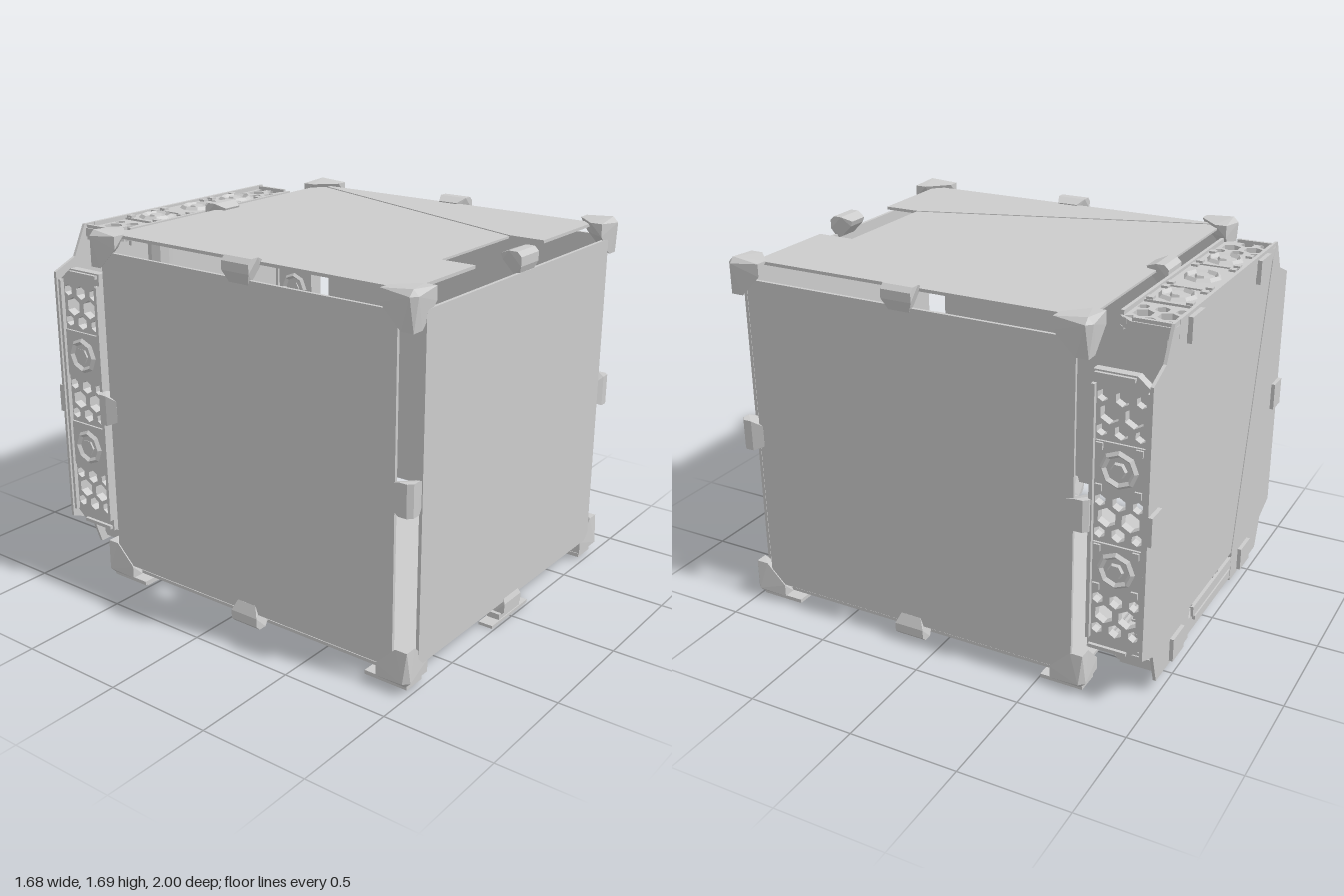
import * as THREE from 'three';
import { ConvexGeometry } from 'three/addons/geometries/ConvexGeometry.js';

const grey = new THREE.MeshStandardMaterial({ color: 0xcccccc, flatShading: true, side: THREE.DoubleSide });
grey.name = 'panelGrey';

// Outer limits of the cube frame and its centre
const MIN = [-0.84, 0.03, -0.73], MAX = [0.84, 1.69, 1.0];
const MID = MIN.map((m, i) => (m + MAX[i]) / 2);

function mesh(parent, name, geometry, x = 0, y = 0, z = 0) {
  const m = new THREE.Mesh(geometry, grey);
  m.name = name;
  m.position.set(x, y, z);
  parent.add(m);
  return m;
}
const box = (parent, name, size, pos) => mesh(parent, name, new THREE.BoxGeometry(...size), ...pos);
const poly = (pts) => new THREE.Shape(pts.map(([x, y]) => new THREE.Vector2(x, y)));
const slab = (shape, depth) => new THREE.ExtrudeGeometry(shape, { depth, bevelEnabled: false });
const mirrored = (pts) => pts.map(([x, y]) => [-x, y]).reverse();

function hexagon(cx, cy, r) {
  const p = new THREE.Path();
  for (let i = 0; i < 6; i++) {
    const a = (i / 6) * Math.PI * 2;
    const x = cx + Math.cos(a) * r, y = cy + Math.sin(a) * r;
    if (i) p.lineTo(x, y); else p.moveTo(x, y);
  }
  p.closePath();
  return p;
}

// Folded sheet: a tapering middle facet between two side facets
function foldedPanel(name, middle, side) {
  const g = new THREE.Group();
  g.name = name;
  mesh(g, 'middleFacet', slab(poly(middle), 0.01));
  mesh(g, 'rightFacet', slab(poly(side), 0.014));
  mesh(g, 'leftFacet', slab(poly(mirrored(side)), 0.014));
  return g;
}

// Chamfered three-armed bracket in one corner of the cube
function cornerBracket(parent, signs) {
  const pts = [];
  const at = (d) => new THREE.Vector3(...d.map((v, i) => (signs[i] > 0 ? MAX[i] - v : MIN[i] + v)));
  for (let a = 0; a < 3; a++) {
    for (const u of [0, 0.07]) for (const v of [0, 0.07]) {
      const d = [0, 0, 0];
      d[a] = u + v > 0.1 ? 0.13 : 0.165;
      d[(a + 1) % 3] = u || 0.012;
      d[(a + 2) % 3] = v || 0.012;
      pts.push(at(d));
    }
    const edge = [0.025, 0.025, 0.025];
    edge[a] = 0;
    pts.push(at(edge));
  }
  mesh(parent, 'cornerBracket', new ConvexGeometry(pts));
}

// Wedge clip at the middle of a cube edge running along one axis
function edgeClip(parent, axis, s1, s2) {
  const b = (axis + 1) % 3, c = (axis + 2) % 3, pts = [];
  const profile = [[0, 0.02], [0.02, 0], [0.06, 0], [0.11, 0.02], [0.1, 0.045], [0.045, 0.1], [0.02, 0.11], [0, 0.06]];
  for (const [u, v] of profile) {
    const half = u + v > 0.1 ? 0.05 : 0.072;
    for (const s of [-1, 1]) {
      const p = [0, 0, 0];
      p[axis] = MID[axis] + s * half;
      p[b] = s1 > 0 ? MAX[b] - u : MIN[b] + u;
      p[c] = s2 > 0 ? MAX[c] - v : MIN[c] + v;
      pts.push(new THREE.Vector3(...p));
    }
  }
  mesh(parent, 'edgeClip', new ConvexGeometry(pts));
}

// Girder along x, width along y, thickness along z: lattice cells between solid blocks
function girder(name, cells, blocks) {
  const g = new THREE.Group();
  g.name = name;
  const L = 0.625, W = 0.125;
  const shape = poly([[-L, -0.06], [-0.57, -W], [0.57, -W], [L, -0.06], [L, W], [-L, W]]);
  for (const c of cells) {
    for (const s of [-1, 1]) {
      shape.holes.push(hexagon(c, s * 0.052, 0.044), hexagon(c + s * 0.07, 0, 0.032));
      for (const t of [-1, 1]) shape.holes.push(hexagon(c + s * 0.072, t * 0.082, 0.026));
    }
  }
  mesh(g, 'lattice', slab(shape, 0.04), 0, 0, -0.02);
  // raised rims on the long edges and between the cells
  for (const s of [-1, 1]) {
    box(g, 'rim', [1.14, 0.016, 0.08], [0, s * 0.117, 0]);
    box(g, 'endRim', [0.016, 0.17, 0.07], [s * 0.61, 0.03, 0]);
  }
  for (const [c, w] of blocks) {
    box(g, 'block', [w, 0.21, 0.06], [c, 0, 0]);
    for (const s of [-1, 1]) {
      mesh(g, 'ring', new THREE.TorusGeometry(0.07, 0.014, 4, 8), c, 0, s * 0.03);
      mesh(g, 'hub', new THREE.CylinderGeometry(0.03, 0.04, 0.02, 6).rotateX(Math.PI / 2), c, 0, s * 0.033);
      for (const t of [-1, 1]) box(g, 'cornerPad', [0.03, 0.03, 0.02], [c + t * (w / 2 - 0.02), s * 0.085, 0.03]);
    }
  }
  return g;
}

export function createModel() {
  const model = new THREE.Group();
  model.name = 'panelledCube';

  // Flat walls and floor, leaving open gaps along the cube edges
  box(model, 'frontPanel', [1.49, 1.5, 0.015], [0, 0.85, 0.983]);
  for (const s of [-1, 1]) box(model, 'sidePanel', [0.015, 1.5, 1.57], [s * 0.812, 0.85, 0.125]);
  box(model, 'floorPanel', [1.5, 0.015, 1.57], [0, 0.038, 0.125]);

  // Roof with a notch in its front edge
  const roof = foldedPanel('roofPanel',
    [[-0.28, -0.74], [0.28, -0.74], [0.73, 0.62], [0.73, 0.67], [-0.73, 0.67], [-0.73, 0.62]],
    [[0.28, -0.91], [0.75, -0.91], [0.75, 0.67], [0.73, 0.67], [0.73, 0.62], [0.28, -0.74]]);
  roof.rotation.x = -Math.PI / 2;
  roof.position.y = 1.651;
  model.add(roof);

  // Brackets and clips
  for (const a of [-1, 1]) for (const b of [-1, 1]) {
    for (const c of [-1, 1]) cornerBracket(model, [a, b, c]);
    for (let axis = 0; axis < 3; axis++) edgeClip(model, axis, a, b);
  }

  // Feet and front lip
  for (const s of [-1, 1]) {
    for (const [z, len] of [[0.87, 0.21], [-0.61, 0.2]]) {
      box(model, 'foot', [0.11, 0.018, len], [s * 0.75, 0.02, z]);
      box(model, 'footPad', [0.08, 0.014, 0.11], [s * 0.75, 0.009, z + 0.04]);
    }
  }
  box(model, 'frontLip', [0.31, 0.014, 0.07], [0, 0.009, 0.955]);
  box(model, 'lipBase', [0.18, 0.03, 0.06], [0, 0.028, 0.955]);

  // Rear door: cross-shaped sheet with cut corners and a notch below
  const door = foldedPanel('rearDoor',
    [[-0.28, 0.2], [0.28, 0.2], [0.58, 1.58], [0.63, 1.65], [-0.63, 1.65], [-0.58, 1.58]],
    [[0.28, 0.05], [0.65, 0.05], [0.7, 0.2], [0.82, 0.25], [0.82, 1.46], [0.7, 1.51], [0.63, 1.65], [0.58, 1.58], [0.28, 0.2]]);
  door.rotation.y = Math.PI;
  door.position.z = -0.968;
  model.add(door);
  box(model, 'doorTab', [0.5, 0.05, 0.012], [0, 0.17, -0.985]);
  box(model, 'doorTabLip', [0.46, 0.02, 0.03], [0, 0.13, -0.98]);
  for (const s of [-1, 1]) {
    box(model, 'doorClip', [0.13, 0.11, 0.024], [s * 0.42, 1.58, -0.988]);
    box(model, 'doorClip', [0.13, 0.11, 0.024], [s * 0.44, 0.12, -0.988]);
    box(model, 'doorClip', [0.1, 0.13, 0.024], [s * 0.77, 0.85, -0.988]);
  }

  // Girders joining the door to the cube
  for (const s of [-1, 1]) {
    const side = girder('sideGirder', [-0.45, 0, 0.45], [[-0.225, 0.22], [0.225, 0.22]]);
    side.rotation.set(Math.PI / 2, 0, Math.PI / 2, 'ZXY');
    side.position.set(s * 0.77, 0.855, -0.845);
    model.add(side);
  }
  for (const [y, name] of [[1.61, 'topGirder'], [0.105, 'bottomGirder']]) {
    const g = girder(name, [-0.51, 0.51], [[-0.28, 0.2], [0, 0.32], [0.28, 0.2]]);
    g.rotation.x = -Math.PI / 2;
    g.position.set(0, y, -0.855);
    model.add(g);
    box(model, 'girderFlange', [0.98, 0.05, 0.02], [0, y, -0.733]);
  }

  // Actuators under the top girder and nubs below the bottom one
  for (const s of [-1, 1]) {
    mesh(model, 'actuator', new THREE.CylinderGeometry(0.058, 0.058, 0.16, 8), s * 0.28, 1.5, -0.84);
    mesh(model, 'actuatorTip', new THREE.ConeGeometry(0.03, 0.03, 6).rotateX(Math.PI), s * 0.28, 1.406, -0.84);
    mesh(model, 'nub', new THREE.CylinderGeometry(0.05, 0.035, 0.04, 8), s * 0.28, 0.055, -0.84);
  }
  return model;
}
